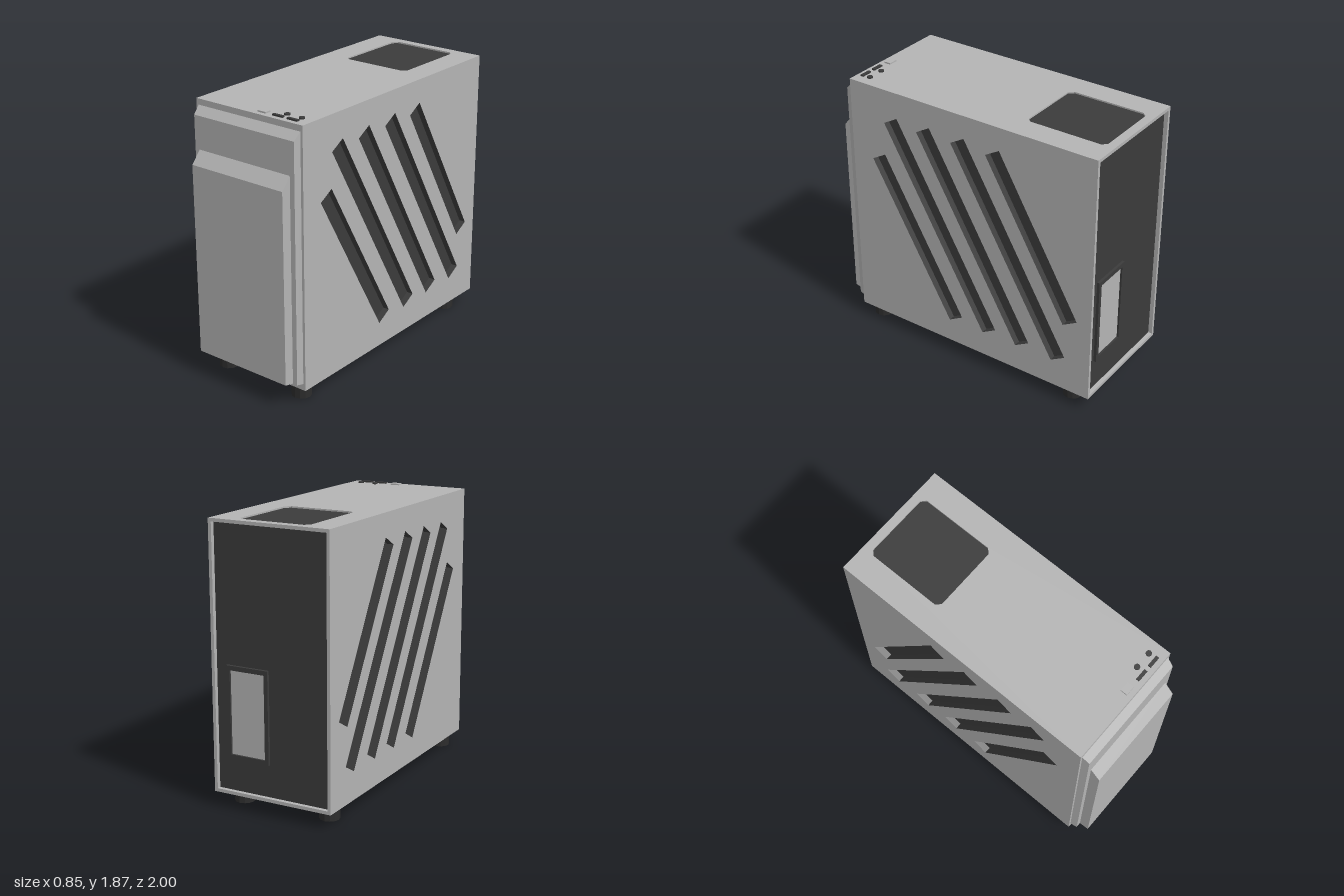
import * as THREE from 'three';

const W = 0.425; // half width of the case

export function createModel() {
  const model = new THREE.Group();
  const mat = (name, color) => Object.assign(new THREE.MeshStandardMaterial({ color }), { name });
  const grey = mat('casing grey', 0xb4b4b4);
  const dark = mat('dark grey', 0x3b3b3b);
  const rubber = mat('rubber black', 0x2c2c2c);

  const add = (name, geometry, material, x = 0, y = 0, z = 0) => {
    const mesh = new THREE.Mesh(geometry, material);
    mesh.name = name;
    mesh.position.set(x, y, z);
    model.add(mesh);
    return mesh;
  };
  // box given by its limits
  const box = (name, material, x0, x1, y0, y1, z0, z1) =>
    add(name, new THREE.BoxGeometry(x1 - x0, y1 - y0, z1 - z0), material,
      (x0 + x1) / 2, (y0 + y1) / 2, (z0 + z1) / 2);
  const rect = (x0, x1, y0, y1, Type = THREE.Shape) => new Type([
    new THREE.Vector2(x0, y0), new THREE.Vector2(x1, y0),
    new THREE.Vector2(x1, y1), new THREE.Vector2(x0, y1)]);
  const extrude = (shape, depth) => new THREE.ExtrudeGeometry(shape, { depth, bevelEnabled: false });

  // side panels with slanted vent slots, each from its top to its bottom end (z, y)
  const slots = [
    [0.665, 1.355, 0.057, 0.297],
    [0.555, 1.65, -0.216, 0.308],
    [0.293, 1.663, -0.481, 0.316],
    [0.022, 1.671, -0.76, 0.321],
    [-0.246, 1.671, -0.843, 0.635],
  ];
  const side = rect(-0.97, 0.86, 0.12, 1.84);
  for (const [z0, y0, z1, y1] of slots) {
    const a = new THREE.Vector2(z0, y0), b = new THREE.Vector2(z1, y1);
    const d = b.clone().sub(a).normalize();
    const n = new THREE.Vector2(-d.y, d.x).multiplyScalar(0.06);
    side.holes.push(new THREE.Path([
      a.clone().add(n), b.clone().add(n), b.clone().sub(n), a.clone().sub(n)]));
  }
  const depth = 0.045;
  const sideGeometry = extrude(side, depth).rotateY(-Math.PI / 2);
  add('leftSidePanel', sideGeometry, [grey, dark], W);
  add('rightSidePanel', sideGeometry, [grey, dark], -W + depth);

  // dark inner core, seen through the slots
  box('innerCore', dark, -W + depth, W - depth, 0.12, 1.83, -0.96, 0.86);

  // top plate with an opening with cut corners
  const top = rect(-W, W, -0.88, 0.97);
  const c = 0.03, gx = 0.248, g0 = 0.376, g1 = 0.94;
  top.holes.push(new THREE.Path([
    [-gx + c, g0], [gx - c, g0], [gx, g0 + c], [gx, g1 - c],
    [gx - c, g1], [-gx + c, g1], [-gx, g1 - c], [-gx, g0 + c],
  ].map(([x, y]) => new THREE.Vector2(x, y))));
  add('topPlate', extrude(top, 0.02).rotateX(-Math.PI / 2), grey, 0, 1.84, 0);
  box('topGrille', dark, -0.27, 0.27, 1.82, 1.85, -0.955, -0.36);

  box('bottomPlate', grey, -W, W, 0.1, 0.12, -0.97, 0.88);
  box('frontPlate', grey, -W, W, 0.12, 1.84, 0.86, 0.88);

  // back: grey rim around a recessed dark panel
  const rim = rect(-W, W, 0.1, 1.86);
  rim.holes.push(rect(-W + 0.022, W - 0.022, 0.122, 1.838, THREE.Path));
  add('backRim', extrude(rim, 0.03), grey, 0, 0, -1);
  box('backPanel', dark, -W + 0.01, W - 0.01, 0.11, 1.85, -0.972, -0.965);

  // back socket: raised frame around a grey plate
  const frame = rect(0.023, 0.326, 0.335, 0.945);
  frame.holes.push(rect(0.05, 0.299, 0.365, 0.915, THREE.Path));
  add('backSocketFrame', extrude(frame, 0.02), dark, 0, 0, -0.99);
  box('backSocketPlate', grey, 0.045, 0.305, 0.36, 0.92, -0.977, -0.97);

  // front panels: boxes whose front face is drawn in
  const frontPanel = (name, back, front, z0, z1) => {
    const g = new THREE.BoxGeometry(1, 1, 1).toNonIndexed();
    const p = g.attributes.position;
    for (let i = 0; i < p.count; i++) {
      const [w, y0, y1] = p.getZ(i) > 0 ? front : back;
      p.setXYZ(i, Math.sign(p.getX(i)) * w, p.getY(i) > 0 ? y1 : y0, p.getZ(i) > 0 ? z1 : z0);
    }
    g.computeVertexNormals();
    add(name, g, grey);
  };
  frontPanel('frontPanel', [0.408, 0.145, 1.82], [0.4, 0.155, 1.77], 0.88, 0.93);
  frontPanel('frontDoor', [0.365, 0.155, 1.55], [0.365, 0.172, 1.47], 0.93, 1.0);

  // buttons and ports on the top
  box('powerButton', grey, 0.047, 0.112, 1.86, 1.87, 0.8, 0.847);
  for (const x of [0.202, 0.315]) {
    box('topPort', dark, x - 0.04, x + 0.04, 1.86, 1.87, 0.825, 0.847);
    add('topJack', new THREE.CylinderGeometry(0.019, 0.019, 0.01, 12), dark, x + 0.024, 1.865, 0.782);
  }

  // feet
  const foot = new THREE.CylinderGeometry(0.067, 0.067, 0.1, 12).toNonIndexed();
  foot.computeVertexNormals();
  for (const x of [-0.315, 0.315])
    for (const z of [-0.82, 0.786]) add('foot', foot, rubber, x, 0.05, z);

  return model;
}
